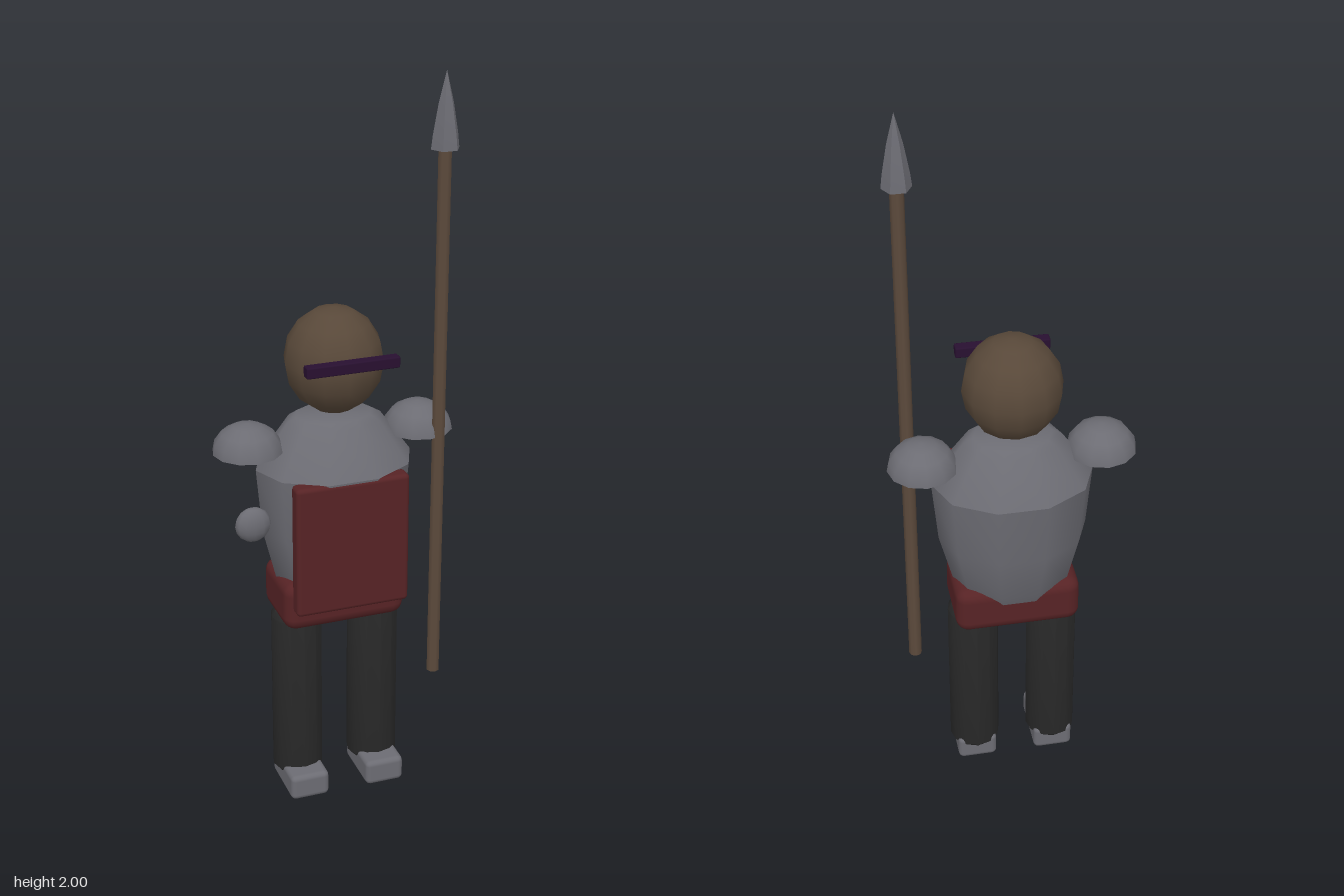
import * as THREE from 'three';
import { toCreasedNormals } from 'three/addons/utils/BufferGeometryUtils.js';
import { RoundedBoxGeometry } from 'three/addons/geometries/RoundedBoxGeometry.js';

const material = (name, color) => {
  const m = new THREE.MeshStandardMaterial({ color });
  m.name = name;
  return m;
};

// Turned solid from [radius, y] points, listed bottom to top
function turned(points, sides, crease, start = 0) {
  const profile = points.map(([r, y]) => new THREE.Vector2(r, y));
  return toCreasedNormals(new THREE.LatheGeometry(profile, sides, start), crease);
}

export function createModel() {
  const steel = material('steel', 0x6c6c73);
  const skin = material('brown', 0x584839);
  const red = material('dark red', 0x572325);
  const black = material('black cloth', 0x272727);
  const purple = material('dark purple', 0x281030);
  const wood = material('wood', 0x5c4a3c);

  const model = new THREE.Group();
  model.name = 'spearGuard';
  const add = (name, geometry, mat, x, y, z) => {
    const mesh = new THREE.Mesh(geometry, mat);
    mesh.name = name;
    mesh.position.set(x, y, z);
    model.add(mesh);
    return mesh;
  };

  // Head and eye band
  add('head', new THREE.SphereGeometry(1, 12, 8), skin, 0, 1.255, -0.03).scale.set(0.132, 0.143, 0.132);
  add('eyeBand', new RoundedBoxGeometry(0.25, 0.03, 0.03, 1, 0.004), purple, 0, 1.285, 0.11);

  // Ten-sided torso with a flat front and back
  const torso = turned([
    [0, 0.59], [0.13, 0.59], [0.165, 0.65], [0.2, 0.79], [0.216, 0.97],
    [0.13, 1.09], [0.105, 1.105], [0, 1.105],
  ], 10, 0.65, Math.PI / 10);
  add('torso', torso, steel, 0, 0, -0.03).scale.z = 0.76;

  // Chest panel and hips
  add('chestPanel', new RoundedBoxGeometry(0.312, 0.37, 0.048, 2, 0.012), red, 0, 0.785, 0.104);
  add('hips', new RoundedBoxGeometry(0.34, 0.14, 0.21, 2, 0.035), red, 0, 0.595, -0.03);

  // Mirrored shoulder guards, legs and feet
  const pad = turned([
    [0, 0], [0.093, 0], [0.088, 0.025], [0.069, 0.052], [0.038, 0.07], [0, 0.077],
  ], 12, 0.75);
  const leg = turned([
    [0, 0.03], [0.045, 0.03], [0.07, 0.06], [0.07, 0.53], [0.06, 0.545], [0, 0.545],
  ], 12, 0.6);
  for (const [side, s] of [['left', 1], ['right', -1]]) {
    add(side + 'ShoulderGuard', pad, steel, s * 0.237, 1.03, -0.03);
    add(side + 'Leg', leg, black, s * 0.11, 0, -0.026);
    add(side + 'Foot', new RoundedBoxGeometry(0.11, 0.074, 0.175, 2, 0.015), steel, s * 0.11, 0.039, 0.003);
  }

  // Small flattened ball in front of the right side
  add('handBoss', new THREE.SphereGeometry(1, 12, 8), steel, -0.283, 0.912, 0.157).scale.set(0.047, 0.047, 0.026);

  // Spear on the left side
  add('spearShaft', new THREE.CylinderGeometry(0.018, 0.018, 1.49, 8), wood, 0.265, 1.065, 0.048);
  const tip = turned([[0, 1.8], [0.038, 1.805], [0.034, 1.84], [0.02, 1.92], [0, 2]], 6, 0.5, Math.PI / 6);
  add('spearTip', tip, steel, 0.265, 0, 0.048);

  return model;
}
